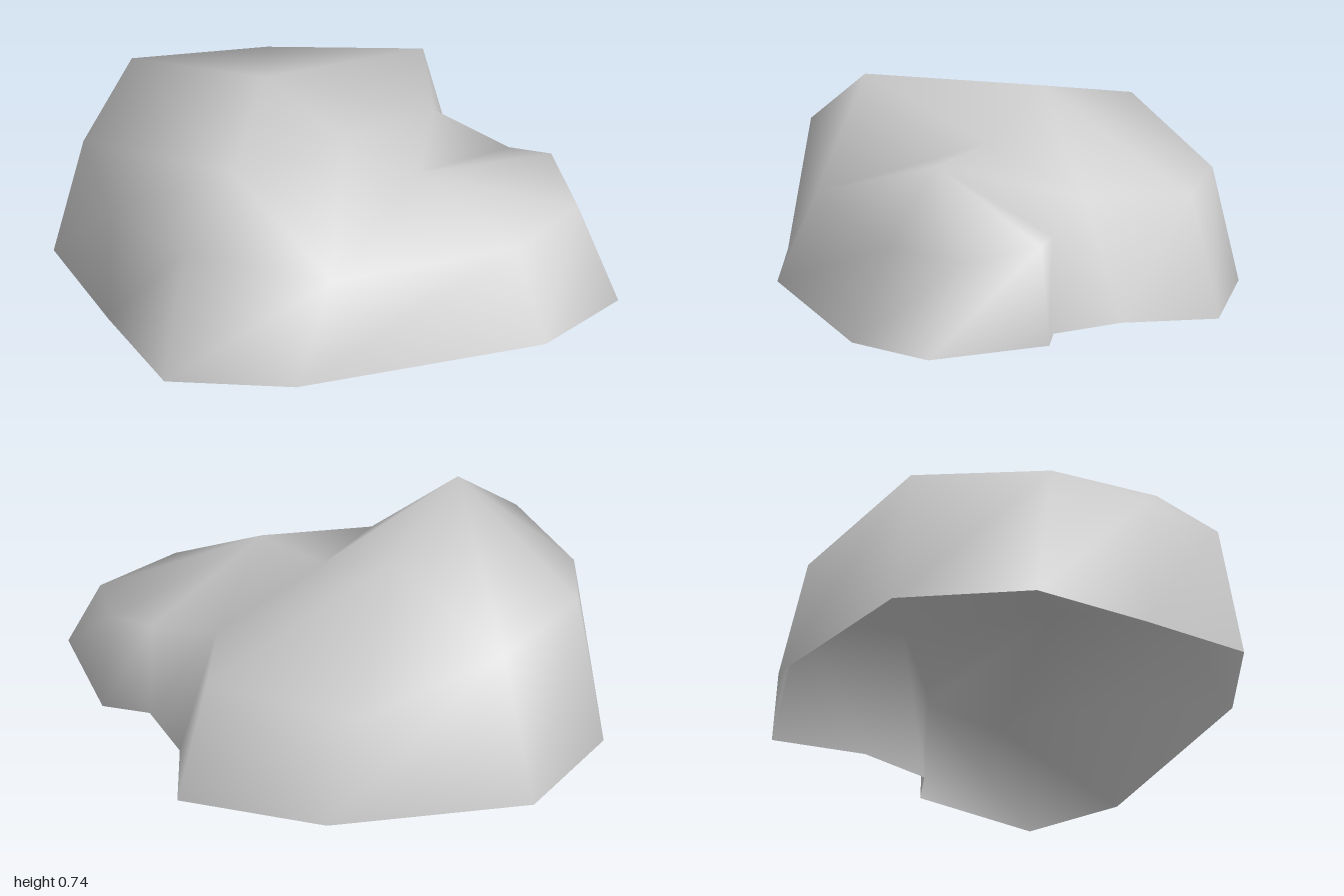
import * as THREE from 'three';

// Ground outline, counter-clockwise from the left tip: [x, z]
const base = [
  [-1, 0.1], [-0.77, 0.59], [-0.32, 0.785], [0.1, 0.945], [0.49, 0.645], [0.99, -0.18],
  [1, -0.57], [0.535, -0.755], [0.39, -0.645], [0.1, -0.72], [-0.19, -0.945], [-0.67, -0.61],
];

// Shoulder ring above each ground point: [x, y, z]
const shoulder = [
  [-0.84, 0.57, 0.08], [-0.64, 0.545, 0.57], [-0.32, 0.495, 0.785], [0.1, 0.52, 0.83],
  [0.49, 0.375, 0.45], [0.82, 0.335, -0.21], [0.8, 0.33, -0.57], [0.535, 0.37, -0.715],
  [0.39, 0.37, -0.64], [0.1, 0.45, -0.55], [-0.19, 0.455, -0.81], [-0.67, 0.41, -0.48],
];

// Front peak, rear crown, low right hump, and the hollow between them
const summits = [[0.1, 0.735, 0.56], [-0.25, 0.72, 0], [0.43, 0.555, -0.1], [0.1, 0.575, -0.06]];

function rockGeometry() {
  const n = base.length;
  const points = [...base.map(([x, z]) => [x, 0, z]), ...shoulder, ...summits];
  const peak = 2 * n, crown = peak + 1, hump = peak + 2, hollow = peak + 3;
  const index = [];

  // Sloping sides
  for (let i = 0; i < n; i++) {
    const j = (i + 1) % n;
    index.push(i, j, n + j, i, n + j, n + i);
  }

  // Fans from runs of the shoulder ring up to each summit
  const fan = (from, to, summit) => {
    for (let i = from; i < to; i++) index.push(n + (i % n), n + ((i + 1) % n), summit);
  };
  fan(0, 4, peak);
  fan(4, 9, hump);
  fan(9, 12, crown);

  // Ridge from the left shoulder, and slopes falling into the hollow
  index.push(n, peak, crown);
  const rim = [n + 4, hump, n + 9, crown, peak];
  rim.forEach((p, i) => index.push(p, rim[(i + 1) % rim.length], hollow));

  const geometry = new THREE.BufferGeometry();
  geometry.setAttribute('position', new THREE.Float32BufferAttribute(points.flat(), 3));
  geometry.setIndex(index);
  geometry.computeVertexNormals();
  return geometry;
}

export function createModel() {
  const group = new THREE.Group();
  group.name = 'rock';
  // Open underneath, so the shell shows from both sides
  const stone = new THREE.MeshStandardMaterial({ color: 0xcccccc, side: THREE.DoubleSide });
  stone.name = 'grey stone';
  const shell = new THREE.Mesh(rockGeometry(), stone);
  shell.name = 'boulder';
  group.add(shell);
  return group;
}
